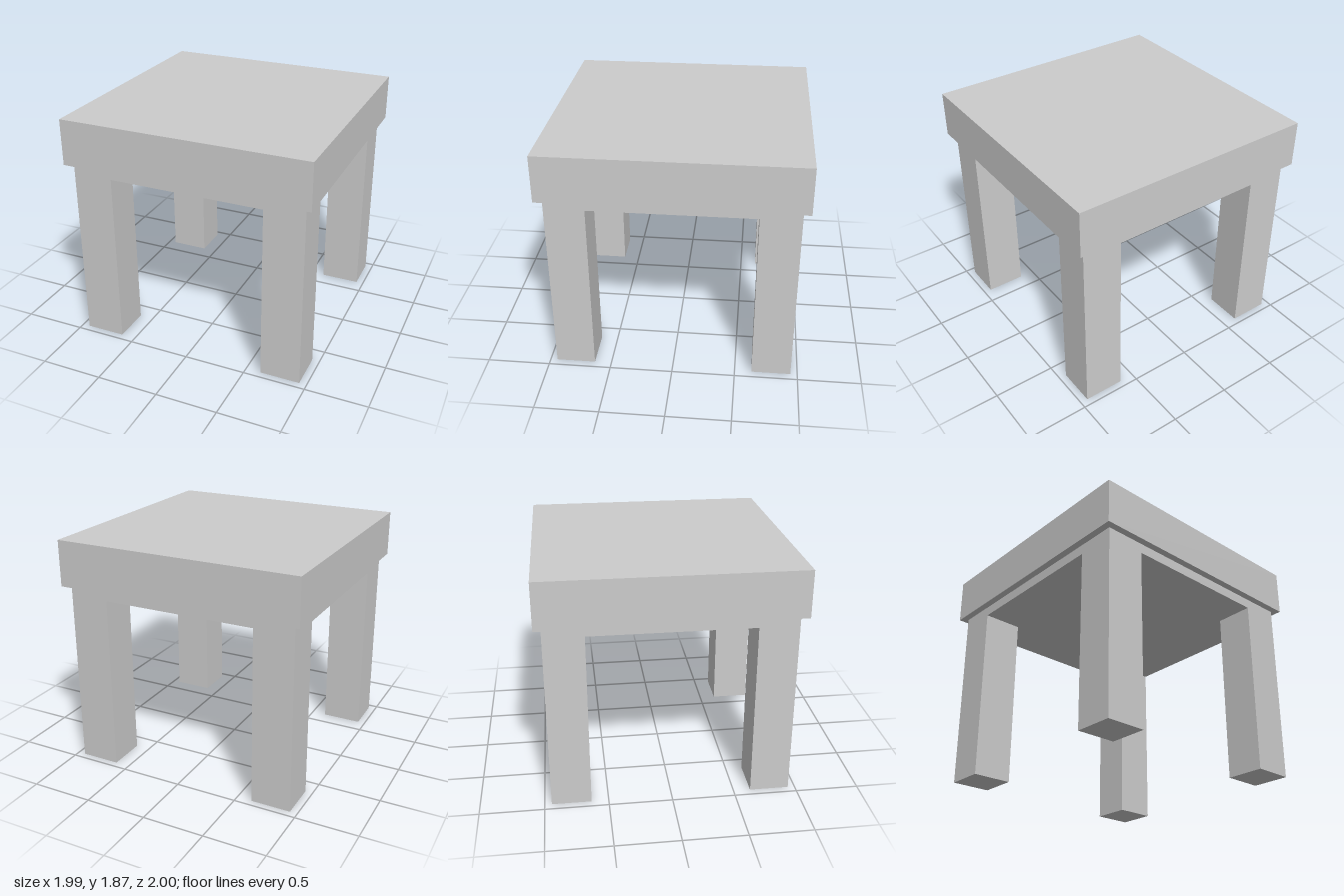
import * as THREE from 'three';

const material = new THREE.MeshStandardMaterial({ color: 0xcccccc, flatShading: true });

// Box given by its size, centre x/z and bottom height
function block(name, w, h, d, x, bottom, z) {
  const mesh = new THREE.Mesh(new THREE.BoxGeometry(w, h, d), material);
  mesh.name = name;
  mesh.position.set(x, bottom + h / 2, z);
  return mesh;
}

export function createModel() {
  const table = new THREE.Group();
  table.name = 'table';

  // Thick overhanging top
  table.add(block('tableTop', 1.99, 0.37, 2, 0, 1.5, 0));

  // Solid under-frame, flush with the outer faces of the legs
  table.add(block('underFrame', 1.88, 0.08, 1.89, 0, 1.42, 0));

  // Four square legs
  for (const [side, sx] of [['Left', 1], ['Right', -1]]) {
    for (const [end, sz] of [['front', 1], ['back', -1]]) {
      table.add(block(`${end}${side}Leg`, 0.32, 1.42, 0.31, sx * 0.78, 0, sz * 0.79));
    }
  }
  return table;
}
